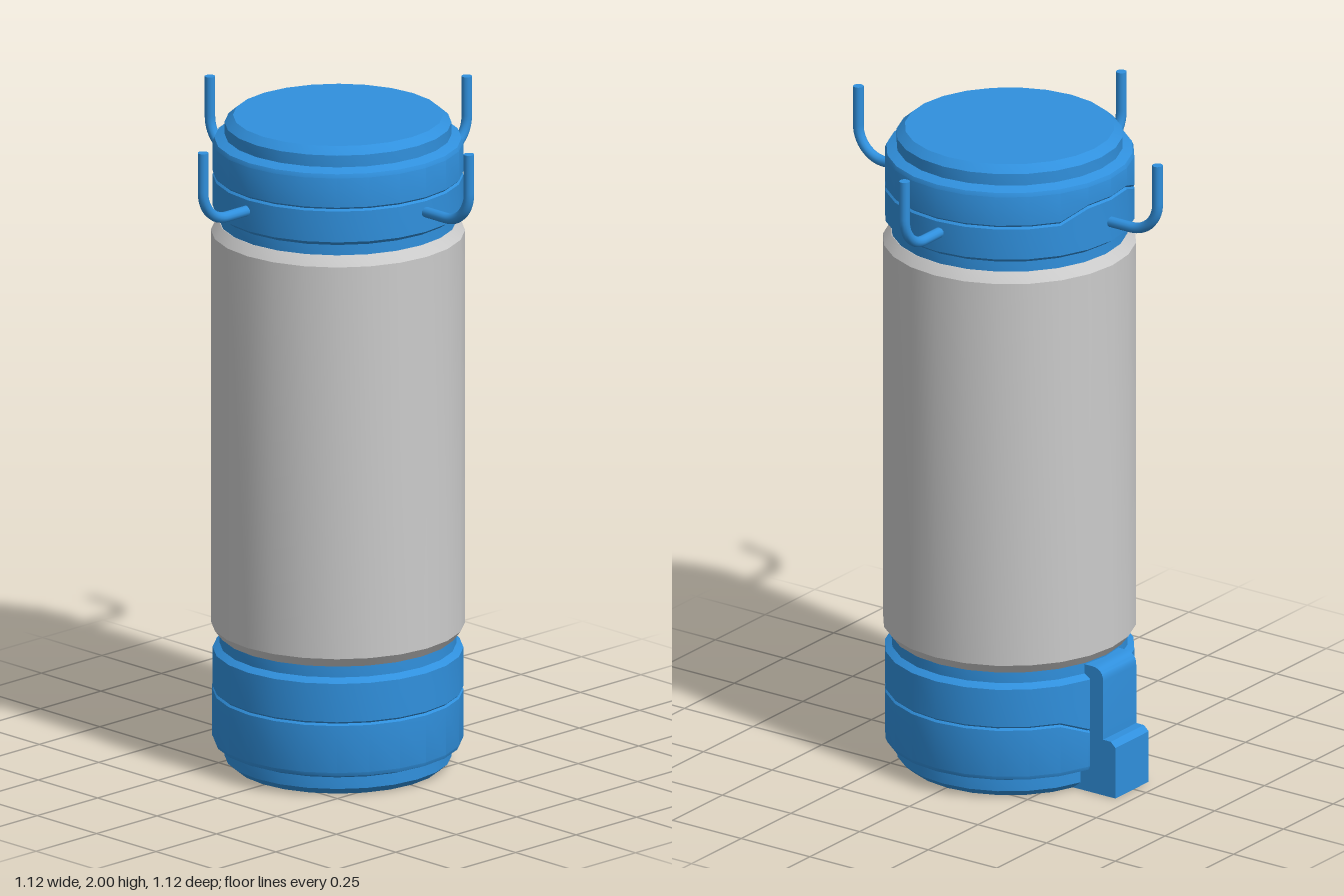
import * as THREE from 'three';
import { toCreasedNormals } from 'three/addons/utils/BufferGeometryUtils.js';

const SIDES = 24;
const CX = -0.005, CZ = -0.003; // axis of the canister

const blue = new THREE.MeshStandardMaterial({ color: 0x3090dd });
const grey = new THREE.MeshStandardMaterial({ color: 0xcccccc });

function addMesh(parent, name, geometry, material) {
  const mesh = new THREE.Mesh(geometry, material);
  mesh.name = name;
  parent.add(mesh);
  return mesh;
}

const lathe = (points) =>
  new THREE.LatheGeometry(points.map(([r, y]) => new THREE.Vector2(r, y)), SIDES);

// End cap with a seam groove that jogs towards the end around the -x side
function capGeometry({ seam, shoulder, neck, top }) {
  let profile = [
    [0, 0], [0.31, 0], [0.335, 0.022], [0.335, 0.058], [0.365, 0.07], [0.37, 0.082],
    [0.37, seam - 0.006], [0.364, seam], [0.37, seam + 0.006],
    [0.37, shoulder - 0.008], [0.35, shoulder + 0.006], [0.35, neck], [0, neck],
  ];
  if (top) profile = profile.map(([r, y]) => [r, 2 - y]).reverse();
  const geometry = lathe(profile);
  const pos = geometry.attributes.position;
  const seamY = top ? 2 - seam : seam;
  for (let i = 0; i < pos.count; i++) {
    if (Math.abs(pos.getY(i) - seamY) > 0.008) continue;
    const angle = Math.abs(Math.atan2(pos.getZ(i), -pos.getX(i)));
    if (angle < 0.4) pos.setY(i, pos.getY(i) + (top ? 0.035 : -0.038));
  }
  return toCreasedNormals(geometry, 0.4);
}

// Upturned hook pointing along +x
function hookGeometry() {
  const path = new THREE.CurvePath();
  const v = (x, y) => new THREE.Vector3(x, y, 0);
  const reach = 0.545, y = 1.782, bend = 0.095;
  path.add(new THREE.LineCurve3(v(0.34, y), v(reach - bend, y)));
  const k = bend * 0.448;
  path.add(new THREE.CubicBezierCurve3(
    v(reach - bend, y), v(reach - k, y), v(reach, y + k), v(reach, y + bend)));
  path.add(new THREE.LineCurve3(v(reach, y + bend), v(reach, 2)));
  return new THREE.TubeGeometry(path, 32, 0.016, 12, false);
}

export function createModel() {
  const model = new THREE.Group();
  model.name = 'canister';

  // Central barrel with chamfered ends
  const barrel = addMesh(model, 'barrel', toCreasedNormals(lathe([
    [0, 0.405], [0.352, 0.405], [0.375, 0.435], [0.375, 1.645], [0.352, 1.675], [0, 1.675],
  ]), 0.4), grey);

  // Bottom and top caps
  const bottomCap = addMesh(model, 'bottomCap',
    capGeometry({ seam: 0.233, shoulder: 0.365, neck: 0.41, top: false }), blue);
  const topCap = addMesh(model, 'topCap',
    capGeometry({ seam: 0.178, shoulder: 0.287, neck: 0.33, top: true }), blue);
  for (const part of [barrel, bottomCap, topCap]) part.position.set(CX, 0, CZ);

  // Four hooks around the top cap
  const hookShape = hookGeometry();
  const tipShape = new THREE.CircleGeometry(0.016, 12).rotateX(-Math.PI / 2);
  for (let i = 0; i < 4; i++) {
    const hook = new THREE.Group();
    hook.name = 'hook' + (i + 1);
    addMesh(hook, 'hookRod', hookShape, blue);
    addMesh(hook, 'hookTip', tipShape, blue).position.set(0.545, 2, 0);
    hook.rotation.y = i * Math.PI / 2;
    hook.position.set(i % 2 ? -0.015 : 0, 0, i % 2 ? 0 : -0.004);
    model.add(hook);
  }

  // Side bracket: foot block with an arm rising to the neck
  const outline = new THREE.Shape();
  outline.moveTo(-0.3, 0);
  outline.lineTo(-0.455, 0);
  outline.lineTo(-0.455, 0.16);
  outline.lineTo(-0.438, 0.176);
  outline.lineTo(-0.41, 0.176);
  outline.lineTo(-0.41, 0.36);
  outline.quadraticCurveTo(-0.41, 0.4, -0.37, 0.4);
  outline.lineTo(-0.3, 0.4);
  outline.closePath();
  const bracket = new THREE.ExtrudeGeometry(outline,
    { depth: 0.167, bevelEnabled: false, curveSegments: 6 });
  bracket.translate(0, 0, -0.092);
  addMesh(model, 'sideBracket', toCreasedNormals(bracket, 0.5), blue);

  return model;
}
